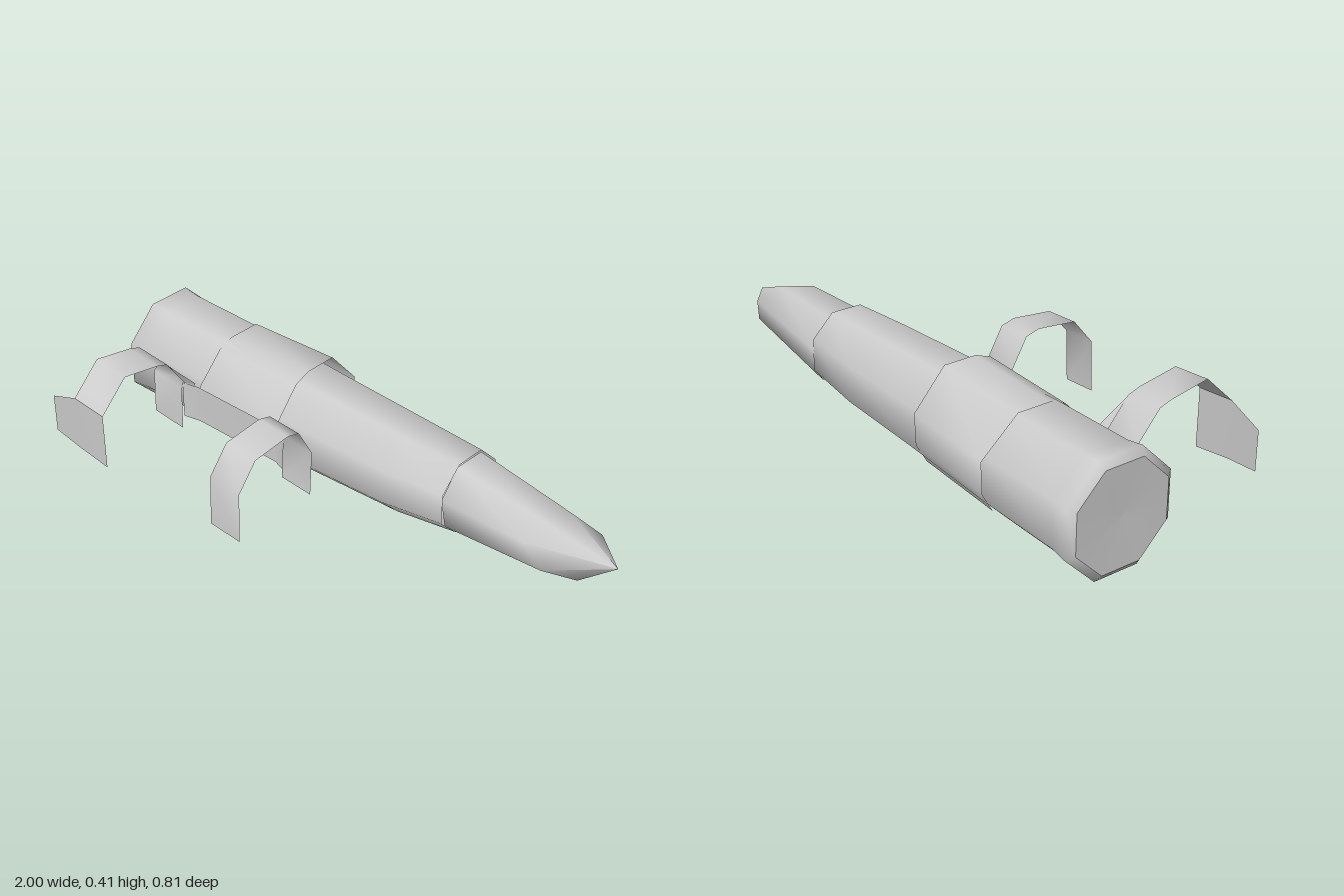
import * as THREE from 'three';

const material = new THREE.MeshStandardMaterial({ color: 0xcccccc, side: THREE.DoubleSide });

function surface(name, points, index) {
  const geometry = new THREE.BufferGeometry();
  geometry.setAttribute('position', new THREE.Float32BufferAttribute(points.flat(), 3));
  geometry.setIndex(index);
  geometry.computeVertexNormals();
  const mesh = new THREE.Mesh(geometry, material);
  mesh.name = name;
  return mesh;
}

// Skin over rings [x, centreY, centreZ, radius, skewY, skewZ] running along x
function loft(name, rings, sides, turn) {
  const points = [], index = [];
  for (const [x, cy, cz, r, skewY = 0, skewZ = 0] of rings) {
    for (let i = 0; i < sides; i++) {
      const a = turn + (i / sides) * Math.PI * 2;
      const s = Math.sin(a), c = Math.cos(a);
      points.push([x + skewY * s + skewZ * c, cy + r * s, cz + r * c]);
    }
  }
  for (let k = 0; k < rings.length - 1; k++) {
    for (let i = 0; i < sides; i++) {
      const a = k * sides + i, b = k * sides + (i + 1) % sides;
      index.push(a, b, a + sides, b, b + sides, a + sides);
    }
  }
  return surface(name, points, index);
}

// Thin strip between two edges, given as pairs of points
function ribbon(name, pairs) {
  const index = [];
  for (let k = 0; k < pairs.length - 1; k++) {
    const a = k * 2;
    index.push(a, a + 1, a + 2, a + 1, a + 3, a + 2);
  }
  return surface(name, pairs.flat(), index);
}

// Strip bent along a [z, y] path, between two x positions
const bentStrip = (name, x0, x1, path, rise = 0) =>
  ribbon(name, path.map(([z, y]) => [[x0, y, z], [x1, y + rise, z]]));

export function createModel() {
  const model = new THREE.Group();
  const eighth = Math.PI / 8;

  // Tapered main tube with a slightly flared tail
  model.add(loft('body', [
    [-1.0, 0.207, -0.195, 0.185], [-0.98, 0.206, -0.195, 0.212],
    [-0.92, 0.206, -0.195, 0.203], [-0.6, 0.206, -0.193, 0.2],
    [-0.2, 0.205, -0.193, 0.182], [0.17, 0.203, -0.195, 0.168],
    [0.41, 0.213, -0.2, 0.147],
  ], 8, eighth));

  // Flat tail cap
  model.add(loft('tailCap', [[-0.995, 0.207, -0.195, 0], [-1, 0.207, -0.195, 0.185]], 8, eighth));

  // Nose with an uneven shoulder running to a point
  model.add(loft('nose', [
    [0.4, 0.207, -0.205, 0.138],
    [0.81, 0.213, -0.178, 0.104, -0.06, -0.08],
    [1.0, 0.22, -0.188, 0],
  ], 7, 0.25));

  // Open sleeve wrapped over the top of the tube
  const wrap = [[0.02, 0.13], [0.012, 0.27], [-0.09, 0.375], [-0.15, 0.398],
    [-0.27, 0.398], [-0.405, 0.28], [-0.4, 0.17], [-0.36, 0.1]];
  model.add(ribbon('sleeve', wrap.map(([z, y]) => [
    [-0.615, y, z],
    [-0.25, y + (y > 0.35 ? 0.014 : 0), z < -0.3 ? z + 0.02 : z],
  ])));

  // Side panel joining the sleeve to both hooks
  model.add(ribbon('sidePanel', [[-0.68, 0.035], [-0.615, 0.02], [-0.25, 0.02], [-0.19, 0.04]]
    .map(([x, z]) => [[x, 0.13, z], [x, 0.27, z]])));

  // Front hook
  model.add(bentStrip('frontHook', -0.19, -0.06, [
    [0.385, 0.105], [0.377, 0.29], [0.3, 0.382], [0.15, 0.397],
    [0.1, 0.383], [0.04, 0.275], [0.05, 0.11],
  ], -0.008));

  // Rear hook, with a flared foot on its outer end
  const rearHook = new THREE.Group();
  rearHook.name = 'rearHook';
  rearHook.add(bentStrip('rearStrip', -0.82, -0.68, [
    [0.4, 0.32], [0.29, 0.425], [0.145, 0.4], [0.1, 0.385],
    [0.015, 0.285], [0.04, 0.26], [0.045, 0.095],
  ], -0.012));
  rearHook.add(ribbon('rearFoot', [
    [[-0.945, 0.13, 0.393], [-0.945, 0.272, 0.393]],
    [[-0.82, 0.118, 0.4], [-0.82, 0.32, 0.4]],
    [[-0.68, 0.1, 0.4], [-0.68, 0.308, 0.4]],
  ]));
  rearHook.add(ribbon('rearGusset', [
    [[-0.68, 0.37, 0.1], [-0.68, 0.27, 0.03]],
    [[-0.64, 0.27, 0.01], [-0.64, 0.26, 0.025]],
  ]));
  model.add(rearHook);

  return model;
}
